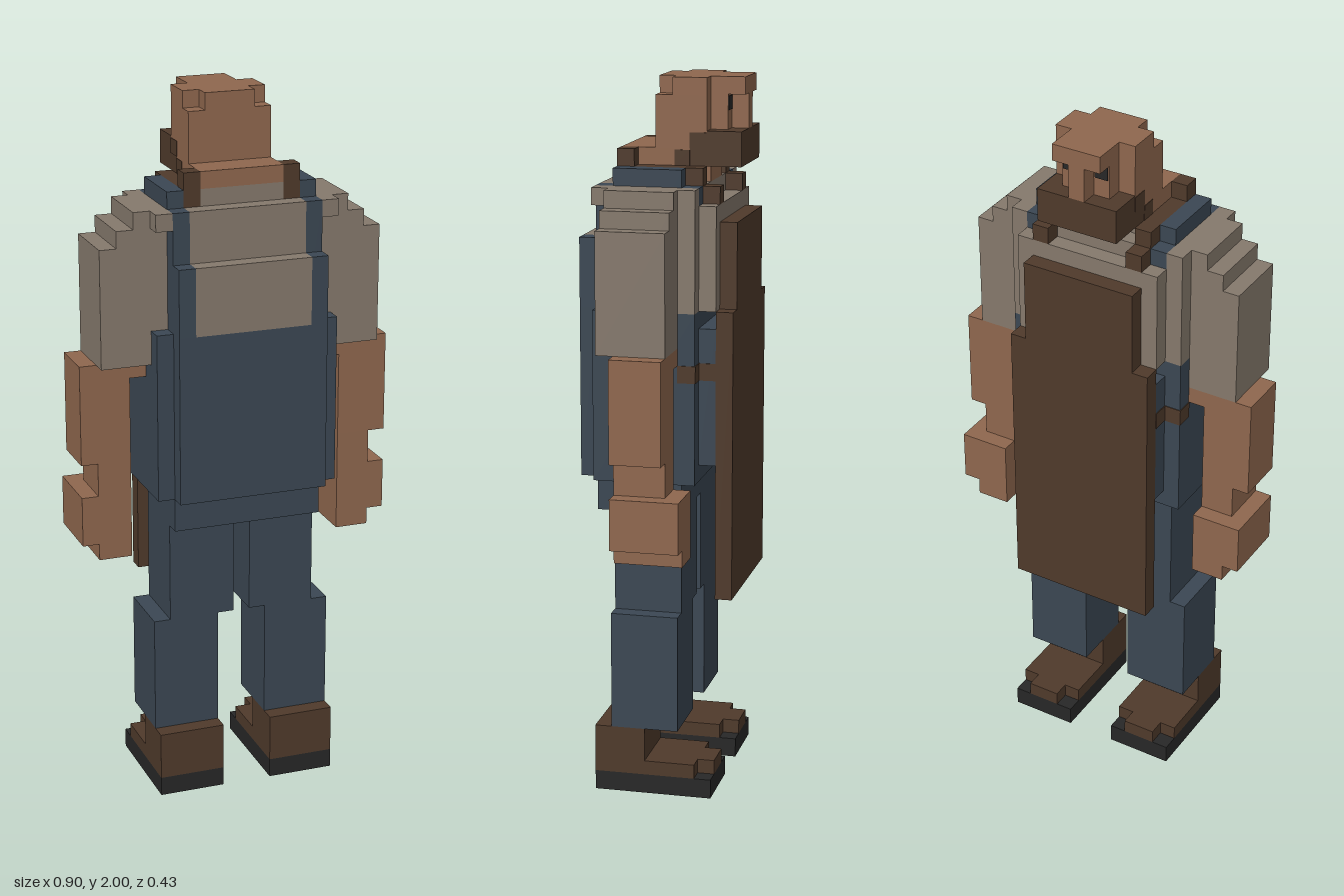
import * as THREE from 'three';

const U = 2 / 42; // one block of the figure

const material = (name, color) => {
  const m = new THREE.MeshStandardMaterial({ color });
  m.name = name;
  return m;
};

export function createModel() {
  const skin = material('skin', 0x8f674e);
  const denim = material('denim blue', 0x3b4753);
  const shirt = material('shirt grey', 0x85796c);
  const leather = material('leather brown', 0x4f3a2b);
  const rubber = material('sole charcoal', 0x272727);

  const model = new THREE.Group();
  model.name = 'blacksmith';
  const section = (name) => {
    const g = new THREE.Group();
    g.name = name;
    model.add(g);
    return g;
  };

  // Box from its limits, counted in blocks
  const box = (parent, name, mat, [x0, x1], [y0, y1], [z0, z1]) => {
    const geo = new THREE.BoxGeometry((x1 - x0) * U, (y1 - y0) * U, (z1 - z0) * U);
    const mesh = new THREE.Mesh(geo, mat);
    mesh.name = name;
    mesh.position.set((x0 + x1) / 2 * U, (y0 + y1) / 2 * U, (z0 + z1) / 2 * U);
    parent.add(mesh);
  };
  // Box centred on x = 0
  const mid = (parent, name, mat, w, y, z) => box(parent, name, mat, [-w, w], y, z);
  // The same box on both sides
  const pair = (parent, name, mat, [x0, x1], y, z) => {
    box(parent, name + 'Left', mat, [x0, x1], y, z);
    box(parent, name + 'Right', mat, [-x1, -x0], y, z);
  };

  // Shoes
  const shoes = section('shoes');
  pair(shoes, 'sole', rubber, [1.5, 5.5], [0, 1.15], [-3.5, 3.5]);
  pair(shoes, 'heel', leather, [1.5, 5.5], [1.15, 4], [0.5, 3.5]);
  pair(shoes, 'instep', leather, [1.5, 5.5], [1.15, 2], [-2.5, 0.5]);
  pair(shoes, 'toe', leather, [2.5, 4.5], [1.15, 2], [-3.5, -2.5]);

  // Trousers
  const legs = section('trousers');
  pair(legs, 'lowerLeg', denim, [1.5, 5.5], [4, 11], [-1.5, 2.5]);
  pair(legs, 'upperLeg', denim, [0.5, 4.5], [11, 17], [-1.5, 2.5]);
  mid(legs, 'hips', denim, 4.5, [17, 19], [-1.5, 3.5]);

  // Overalls
  const overalls = section('overalls');
  mid(overalls, 'waist', denim, 5.5, [19, 29], [-2.5, 3.5]);
  mid(overalls, 'belly', denim, 4.5, [20, 28], [-3.5, -2.5]);
  mid(overalls, 'backPanel', denim, 4.5, [19, 29], [3.5, 4.5]);
  pair(overalls, 'backPanelSide', denim, [3.5, 4.5], [29, 33], [3.5, 4.5]);
  pair(overalls, 'strapBack', denim, [3.5, 4.5], [29, 36], [2.5, 3.5]);
  pair(overalls, 'strapTop', denim, [3.5, 4.5], [29, 37], [-1.5, 2.5]);
  pair(overalls, 'strapFront', denim, [3.5, 4.5], [29, 36], [-2.5, -1.5]);

  // Shirt body
  const top = section('shirt');
  mid(top, 'backShirt', shirt, 3.5, [29, 33], [3.5, 4.5]);
  mid(top, 'shoulderBlades', shirt, 3.5, [29, 36], [2.5, 3.5]);
  mid(top, 'torso', shirt, 3.5, [29, 36], [-2.5, 2.5]);
  mid(top, 'yoke', shirt, 2.5, [36, 37], [-1.5, 2.5]);
  mid(top, 'chest', shirt, 4.5, [29, 35], [-3.5, -2.5]);
  pair(top, 'shoulderSeam', shirt, [4.5, 5.5], [35, 36], [2.5, 3.5]);
  pair(top, 'armhole', shirt, [4.5, 5.5], [29, 36], [-2.5, 2.5]);

  // Stepped sleeves, one column at a time
  [36, 35, 34].forEach((h, i) => {
    pair(top, 'sleeve' + (i + 1), shirt, [5.5 + i, 6.5 + i], [27, h], [-1.5, 2.5]);
  });

  // Arms and hands
  const arms = section('arms');
  pair(arms, 'innerElbow', skin, [5.5, 6.5], [26, 27], [-1.5, 1.5]);
  pair(arms, 'forearm', skin, [6.5, 9.5], [21, 27], [-1.5, 1.5]);
  pair(arms, 'wrist', skin, [6.5, 8.5], [19, 21], [-1.5, 1.5]);
  pair(arms, 'hand', skin, [6.5, 9.5], [16, 19], [-2.5, 1.5]);
  pair(arms, 'fingers', skin, [6.5, 8.5], [15, 16], [-2.5, 1.5]);

  // Apron with neck strap and waist tie
  const apron = section('apron');
  mid(apron, 'apronSkirt', leather, 4.5, [12, 29], [-4.5, -3.5]);
  mid(apron, 'apronBib', leather, 3.5, [29, 34], [-4.5, -3.5]);
  pair(apron, 'neckStrapFront', leather, [2.5, 3.5], [35, 36], [-3.5, -2.5]);
  pair(apron, 'neckStrapChest', leather, [2.5, 3.5], [36, 37], [-2.5, -1.5]);
  pair(apron, 'neckStrapSide', leather, [2.5, 3.5], [36, 37], [-1.5, 1.5]);
  pair(apron, 'neckStrapBack', leather, [2.5, 3.5], [36, 38], [1.5, 2.5]);
  pair(apron, 'waistTie', leather, [5.45, 5.55], [25, 26], [-2.55, -1.5]);
  pair(apron, 'waistTieFront', leather, [4.4, 4.55], [25, 26], [-3.5, -2.5]);
  pair(apron, 'waistTieCorner', leather, [4.5, 5.5], [25, 26], [-2.55, -2.45]);

  // Neck and head
  const head = section('head');
  mid(head, 'neck', skin, 2.5, [37, 38], [-0.5, 2.5]);
  mid(head, 'throat', skin, 1.5, [36, 37], [-2.5, -1.5]);
  mid(head, 'skull', skin, 2.5, [38, 41], [-2.5, 0.5]);
  mid(head, 'jaw', skin, 2.5, [37, 38], [-1.5, -0.5]);
  mid(head, 'crownFront', skin, 2.5, [41, 42], [-2.5, -0.5]);
  mid(head, 'crownBack', skin, 1.5, [41, 42], [-0.5, 0.5]);
  mid(head, 'face', skin, 1.5, [39, 42], [-3.5, -2.5]);
  mid(head, 'brow', skin, 1.5, [41, 42], [-4.5, -3.5]);
  mid(head, 'nose', skin, 0.5, [39, 41], [-4.5, -3.5]);
  pair(head, 'eye', rubber, [0.6, 1.4], [40.1, 40.9], [-3.56, -3.5]);

  // Beard
  mid(head, 'beard', leather, 2.5, [37, 39], [-4.5, -2.5]);
  mid(head, 'beardUnder', leather, 2.5, [37, 38], [-2.5, -1.5]);
  pair(head, 'sideburn', leather, [2.45, 2.53], [38, 38.9], [-2.5, -1.5]);
  pair(head, 'sideburnLow', leather, [2.45, 2.53], [37, 37.9], [-1.5, -0.6]);

  return model;
}
